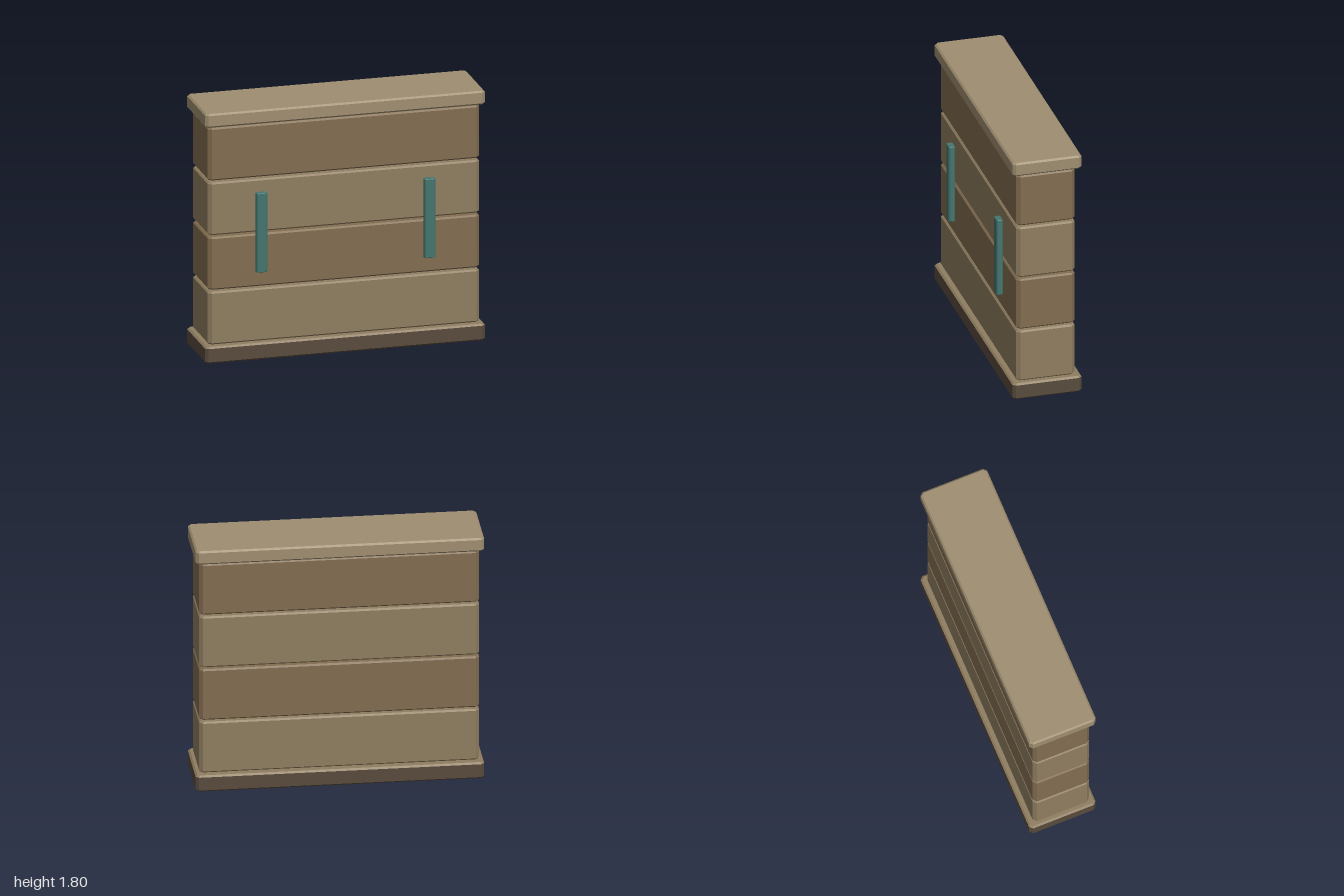
import * as THREE from 'three';

// Block with cut vertical corners and a single flat bevel on its top and bottom edges
function blockGeometry(w, h, d, corner, bevel) {
  const x = w / 2, z = d / 2, c = corner;
  const outline = new THREE.Shape([
    [x, -z + c], [x, z - c], [x - c, z], [-x + c, z],
    [-x, z - c], [-x, -z + c], [-x + c, -z], [x - c, -z],
  ].map(([a, b]) => new THREE.Vector2(a, b)));
  const geo = new THREE.ExtrudeGeometry(outline, {
    depth: h - 2 * bevel, bevelEnabled: true, bevelSegments: 1,
    bevelThickness: bevel, bevelSize: bevel, bevelOffset: -bevel,
  });
  geo.translate(0, 0, bevel);
  geo.rotateX(-Math.PI / 2); // height along y, standing on y = 0
  return geo;
}

// Keep only the faces that look upward, or only the others
function facesLooking(geo, up) {
  const pos = geo.attributes.position, nor = geo.attributes.normal;
  const p = [], n = [];
  for (let i = 0; i < pos.count; i += 3) {
    if ((nor.getY(i) > 0.3) !== up) continue;
    for (let j = i; j < i + 3; j++) {
      p.push(pos.getX(j), pos.getY(j), pos.getZ(j));
      n.push(nor.getX(j), nor.getY(j), nor.getZ(j));
    }
  }
  const out = new THREE.BufferGeometry();
  out.setAttribute('position', new THREE.Float32BufferAttribute(p, 3));
  out.setAttribute('normal', new THREE.Float32BufferAttribute(n, 3));
  return out;
}

export function createModel() {
  const model = new THREE.Group();
  const mat = (color) => new THREE.MeshStandardMaterial({ color, flatShading: true });
  const lightWood = mat(0x8f7d60), darkWood = mat(0x826d50);
  const topWood = mat(0x9f8e70), baseWood = mat(0x594b3d), teal = mat(0x44756f);

  const add = (parent, name, geo, material, x, y, z) => {
    const mesh = new THREE.Mesh(geo, material);
    mesh.name = name;
    mesh.position.set(x, y, z);
    parent.add(mesh);
  };

  // Plinth: dark sides, lighter ledge on top
  const plinth = new THREE.Group();
  plinth.name = 'plinth';
  const plinthGeo = blockGeometry(2, 0.12, 0.495, 0.022, 0.012);
  add(plinth, 'plinthBody', facesLooking(plinthGeo, false), baseWood, 0, 0, -0.007);
  add(plinth, 'plinthLedge', facesLooking(plinthGeo, true), lightWood, 0, 0, -0.007);
  model.add(plinth);

  // Four stacked drawers in alternating wood, with narrow gaps
  const drawerGeo = blockGeometry(1.94, 0.38, 0.42, 0.025, 0.011);
  for (let i = 0; i < 4; i++) {
    add(model, `drawer${i + 1}`, drawerGeo, i % 2 ? darkWood : lightWood, 0, 0.125 + i * 0.395, -0.005);
  }

  // Overhanging top board
  add(model, 'topBoard', blockGeometry(2, 0.1, 0.495, 0.022, 0.012), topWood, 0, 1.704, -0.007);

  // Upright bars on the front
  const barGeo = blockGeometry(0.078, 0.572, 0.046, 0.009, 0.004);
  for (const side of [-1, 1]) {
    add(model, side > 0 ? 'leftBar' : 'rightBar', barGeo, teal, side * 0.6, 0.634, 0.232);
  }
  return model;
}
